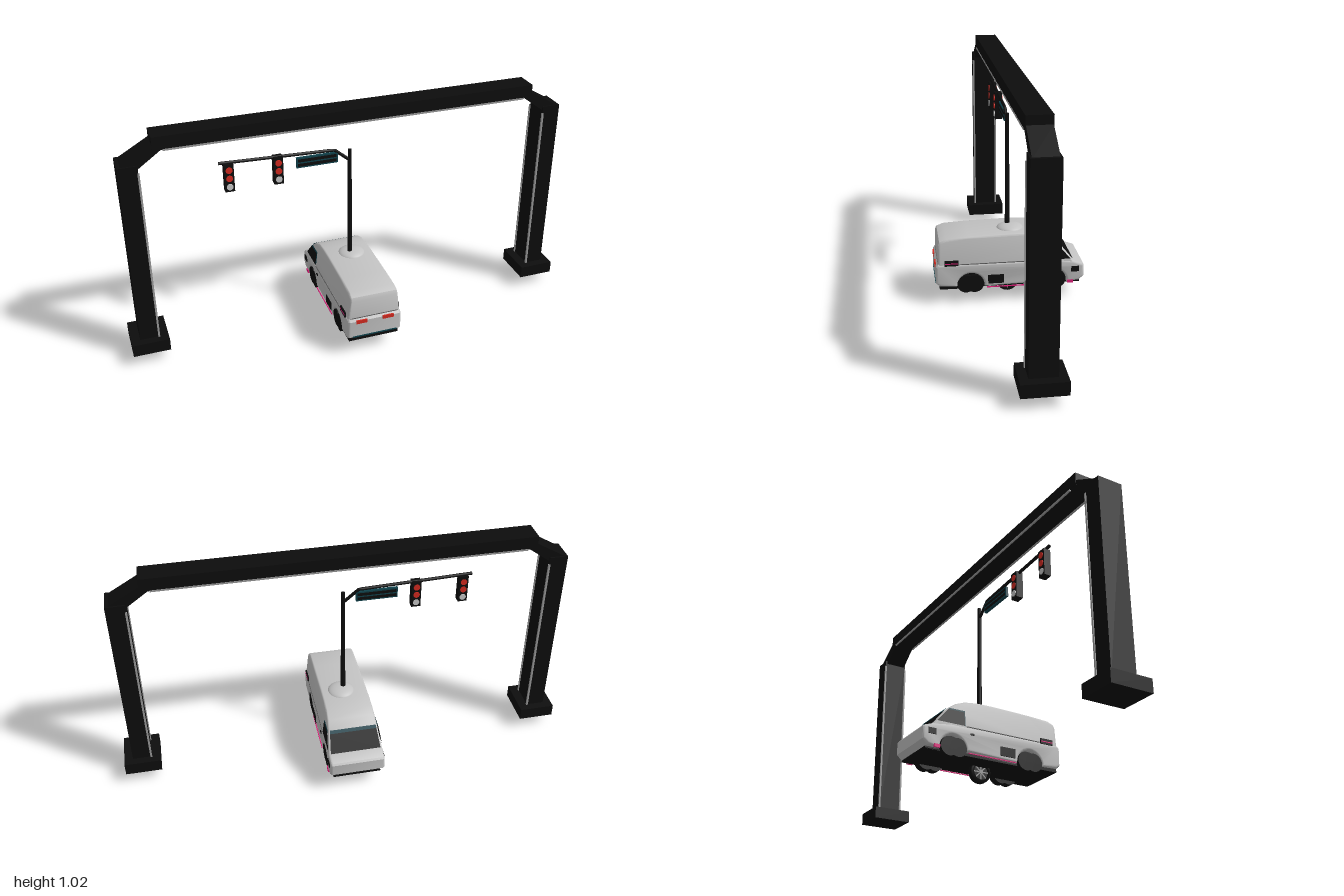
import * as THREE from 'three';
import { toCreasedNormals } from 'three/addons/utils/BufferGeometryUtils.js';

const mat = (name, color, side = THREE.FrontSide) => {
  const m = new THREE.MeshStandardMaterial({ color, side });
  m.name = name;
  return m;
};

export function createModel() {
  const paint = mat('bodyGrey', 0xc2c2c2);
  const black = mat('black', 0x0d0d0d, THREE.DoubleSide);
  const teal = mat('teal', 0x10424c, THREE.DoubleSide);
  const red = mat('red', 0xd42a20);
  const pink = mat('pink', 0xe0207a, THREE.DoubleSide);
  const silver = mat('silver', 0x9a9a9a);
  const seam = mat('seamGrey', 0x5c5c5c);
  const lens = mat('paleLens', 0xc8c8c8);

  const model = new THREE.Group();
  const group = (name) => {
    const g = new THREE.Group();
    g.name = name;
    model.add(g);
    return g;
  };
  const add = (parent, name, geo, m, x = 0, y = 0, z = 0) => {
    const mesh = new THREE.Mesh(geo, m);
    mesh.name = name;
    mesh.position.set(x, y, z);
    parent.add(mesh);
    return mesh;
  };
  // Box given by its limits on each axis
  const box = (parent, name, m, x0, x1, y0, y1, z0, z1) =>
    add(parent, name, new THREE.BoxGeometry(x1 - x0, y1 - y0, z1 - z0), m,
      (x0 + x1) / 2, (y0 + y1) / 2, (z0 + z1) / 2);
  const shapeOf = (pts) => new THREE.Shape(pts.map(([a, b]) => new THREE.Vector2(a, b)));

  // ---- Gantry: beam, corner braces, columns, feet and edge strips
  const gantry = group('gantry');
  box(gantry, 'beam', black, -0.82, 0.82, 0.968, 1.025, -0.05, 0.05);
  const brace = new THREE.ExtrudeGeometry(
    shapeOf([[0.82, 0.99], [0.78, 0.972], [0.88, 0.9], [0.955, 0.912]]),
    { depth: 0.096, bevelEnabled: false });
  brace.translate(0, 0, -0.048);
  for (const s of [-1, 1]) {
    const side = new THREE.Group();
    side.name = s > 0 ? 'leftColumn' : 'rightColumn';
    side.rotation.y = s > 0 ? 0 : Math.PI;
    gantry.add(side);
    add(side, 'cornerBrace', brace, black);
    box(side, 'column', black, 0.882, 0.962, 0.1, 0.916, -0.055, 0.055);
    box(side, 'foot', black, 0.842, 1, 0.05, 0.105, -0.09, 0.09);
    for (const z of [-0.055, 0.055])
      box(side, 'columnStrip', silver, 0.878, 0.886, 0.105, 0.885, z - 0.004, z + 0.004);
    const zs = s * 0.048;
    box(gantry, 'beamStrip', silver, -0.78, 0.78, 0.963, 0.971, zs - 0.003, zs + 0.003);
  }

  // ---- Signal pole with arm, two signals and a sign
  const signal = group('signalPole');
  add(signal, 'pole', new THREE.CylinderGeometry(0.008, 0.011, 0.525, 16), black, 0, 0.5625, 0);
  const path = new THREE.CurvePath();
  const armPts = [[0, 0.775], [-0.068, 0.832], [-0.56, 0.849]].map(([x, y]) => new THREE.Vector3(x, y, 0));
  path.add(new THREE.LineCurve3(armPts[0], armPts[1]));
  path.add(new THREE.LineCurve3(armPts[1], armPts[2]));
  add(signal, 'arm', new THREE.TubeGeometry(path, 40, 0.007, 8), black);
  for (const x of [-0.522, -0.315]) {
    box(signal, 'signalHousing', black, x - 0.02, x + 0.02, 0.722, 0.845, -0.016, 0.016);
    [0.819, 0.782, 0.744].forEach((y, i) => {
      for (const s of [-1, 1]) {
        const lamp = add(signal, 'signalLamp', new THREE.CylinderGeometry(0.014, 0.014, 0.004, 20),
          i < 2 ? red : lens, x, y, s * 0.017);
        lamp.rotation.x = Math.PI / 2;
      }
    });
  }
  box(signal, 'sign', teal, -0.235, -0.055, 0.776, 0.822, -0.006, 0.006);
  for (const s of [-1, 1])
    for (const y of [0.789, 0.809])
      add(signal, 'signPanel', new THREE.BoxGeometry(0.168, 0.013, 0.002), black, -0.145, y, s * 0.0065);

  // ---- Van body: side profiles (z, y) extruded across x
  const van = group('van');
  const across = (shape, half, bevel) => {
    const depth = 2 * (half - bevel);
    const geo = new THREE.ExtrudeGeometry(shape, {
      depth, bevelThickness: bevel, bevelSize: bevel, bevelOffset: -bevel, bevelSegments: 3, curveSegments: 16,
    });
    geo.translate(0, 0, -depth / 2);
    return geo.rotateY(-Math.PI / 2);
  };
  const lower = new THREE.Shape();
  lower.moveTo(-0.305, 0.08);
  lower.lineTo(-0.25, 0.075);
  lower.absarc(-0.19, 0.08, 0.06, Math.PI, 0, true);
  lower.lineTo(0.115, 0.075);
  lower.absarc(0.175, 0.08, 0.06, Math.PI, 0, true);
  for (const [z, y] of [[0.31, 0.083], [0.328, 0.098], [0.328, 0.176], [0.318, 0.187],
    [-0.2, 0.185], [-0.28, 0.175], [-0.322, 0.16], [-0.328, 0.152], [-0.328, 0.1]]) lower.lineTo(z, y);
  add(van, 'lowerBody', toCreasedNormals(across(lower, 0.121, 0.011), 0.6), paint);

  // Cabin sides lean inwards towards the roof
  const halfWidth = (y) => 0.117 - 0.11 * (y - 0.185);
  const cabin = across(shapeOf([[0.317, 0.165], [0.317, 0.272], [0.31, 0.288], [0.28, 0.3], [0.18, 0.306],
    [0, 0.31], [-0.07, 0.309], [-0.13, 0.301], [-0.175, 0.283], [-0.212, 0.256], [-0.286, 0.165]].reverse()),
  0.117, 0.009);
  const pos = cabin.attributes.position;
  for (let i = 0; i < pos.count; i++) pos.setX(i, pos.getX(i) * halfWidth(pos.getY(i)) / 0.117);
  cabin.computeVertexNormals();
  add(van, 'cabin', toCreasedNormals(cabin, 0.6), paint);
  const dome = add(van, 'roofDome', new THREE.SphereGeometry(0.06, 32, 8, 0, Math.PI * 2, 0, Math.PI / 2),
    paint, 0.012, 0.304, -0.01);
  dome.scale.y = 0.38;

  // Thin plate lying on both leaning cabin sides
  const sidePlates = (name, m, pts, lift) => {
    for (const s of [-1, 1]) {
      const geo = new THREE.ShapeGeometry(shapeOf(pts));
      const p = geo.attributes.position;
      for (let i = 0; i < p.count; i++) {
        const z = p.getX(i), y = p.getY(i);
        p.setXYZ(i, s * (halfWidth(y) + lift), y, z);
      }
      geo.computeVertexNormals();
      add(van, name, geo, m);
    }
  };
  sidePlates('sideWindowTrim', teal, [[-0.134, 0.187], [-0.134, 0.256], [-0.205, 0.256], [-0.216, 0.246]], 0.002);
  sidePlates('sideWindow', black, [[-0.138, 0.187], [-0.138, 0.249], [-0.212, 0.249], [-0.266, 0.187]], 0.004);

  // Windscreen strips following the sloping front
  const screen = (name, m, y0, y1) => {
    const at = (s, y) => [s * (halfWidth(y) - 0.007), y + 0.002, -0.212 - (0.256 - y) * 0.813 - 0.003];
    const geo = new THREE.BufferGeometry();
    geo.setAttribute('position', new THREE.Float32BufferAttribute(
      [at(-1, y0), at(-1, y1), at(1, y1), at(1, y0)].flat(), 3));
    geo.setIndex([0, 1, 2, 0, 2, 3]);
    geo.computeVertexNormals();
    add(van, name, geo, m);
  };
  screen('windscreen', black, 0.177, 0.244);
  screen('windscreenTrim', teal, 0.244, 0.256);

  // Underside, bumpers and lamps
  box(van, 'chassis', black, -0.1, 0.1, 0.068, 0.142, -0.295, 0.298);
  box(van, 'rearBumper', black, -0.112, 0.112, 0.068, 0.092, 0.23, 0.312);
  box(van, 'frontSplitter', black, -0.105, 0.105, 0.069, 0.076, -0.31, -0.25);
  box(van, 'rearTrim', teal, -0.1, 0.1, 0.096, 0.102, 0.322, 0.33);
  box(van, 'rearSeam', seam, -0.108, 0.108, 0.186, 0.189, 0.314, 0.319);
  for (const s of [-1, 1]) {
    const x = s * 0.121;
    // Painted side detail, y and z limits given
    const detail = (name, m, y0, y1, z0, z1, t = 0.003) => box(van, name, m, x - t, x + t, y0, y1, z0, z1);
    box(van, 'tailLamp', red, s * 0.06 - 0.025, s * 0.06 + 0.025, 0.165, 0.181, 0.325, 0.331);
    detail('sideLamp', black, 0.181, 0.205, 0.229, 0.29);
    detail('sideLampLine', pink, 0.19, 0.194, 0.231, 0.288, 0.004);
    detail('vent', black, 0.09, 0.13, 0.03, 0.1);
    detail('sillLine', pink, 0.071, 0.075, -0.12, 0.105, 0.002);
    detail('frontMarker', pink, 0.072, 0.086, -0.278, -0.252);
    detail('doorHandle', black, 0.152, 0.159, -0.113, -0.096, 0.004);
    detail('beltLine', seam, 0.184, 0.187, -0.13, 0.225, 0.0015);
    detail('headLamp', black, 0.125, 0.15, -0.305, -0.27);
    // Paired wheels in each arch
    for (const z of [0.196, 0.158, -0.166, -0.206]) {
      const wheel = add(van, 'wheel', new THREE.CylinderGeometry(0.04, 0.04, 0.036, 24), black, s * 0.1, 0.09, z);
      wheel.rotation.z = Math.PI / 2;
    }
  }

  // ---- Spoked wheel under the van
  const centre = group('centreWheel');
  centre.position.y = 0.047;
  const tyre = new THREE.LatheGeometry([[0.034, -0.015], [0.043, -0.017], [0.047, -0.01], [0.047, 0.01],
    [0.043, 0.017], [0.034, 0.015], [0.034, -0.015]].map(([r, y]) => new THREE.Vector2(r, y)), 32);
  add(centre, 'tyre', tyre.rotateZ(Math.PI / 2), black);
  add(centre, 'hub', new THREE.CylinderGeometry(0.009, 0.009, 0.03, 16).rotateZ(Math.PI / 2), silver);
  add(centre, 'rimDisc', new THREE.CylinderGeometry(0.035, 0.035, 0.016, 32).rotateZ(Math.PI / 2), black);
  for (let i = 0; i < 8; i++) {
    const a = (i / 8) * Math.PI * 2;
    const spoke = add(centre, 'spoke', new THREE.BoxGeometry(0.024, 0.03, 0.005), silver,
      0, Math.cos(a) * 0.02, Math.sin(a) * 0.02);
    spoke.rotation.x = a;
  }
  return model;
}
